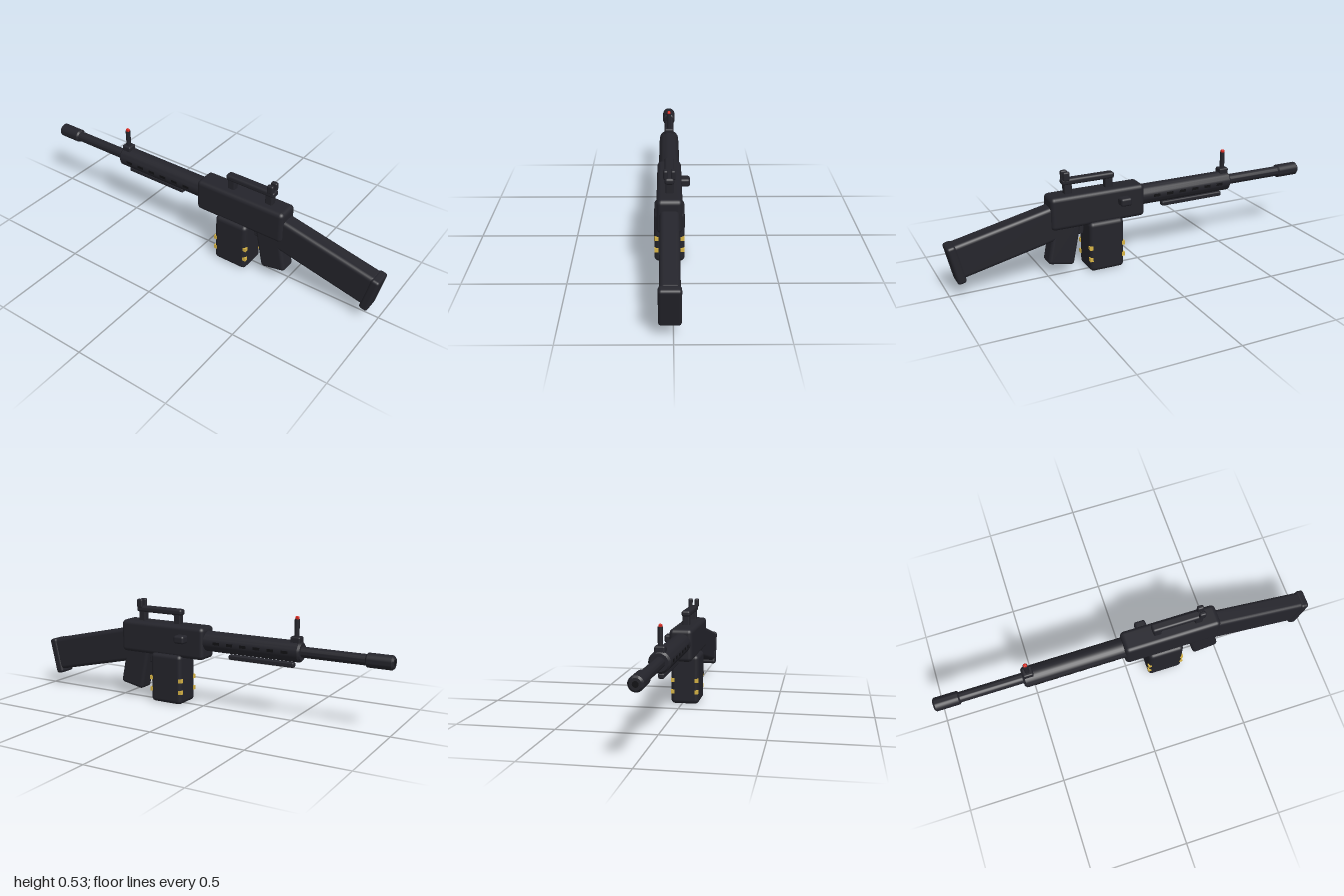
import * as THREE from 'three';
import { RoundedBoxGeometry } from 'three/addons/geometries/RoundedBoxGeometry.js';
import { toCreasedNormals } from 'three/addons/utils/BufferGeometryUtils.js';

const CX = -0.015;      // centre plane of the body
const BORE_Y = 0.348;   // height of the barrel axis

export function createModel() {
  const model = new THREE.Group();
  const mat = (color) => new THREE.MeshStandardMaterial({ color });
  const dark = mat(0x24242b), black = mat(0x111114), brass = mat(0xd9b545), red = mat(0xd8281f);

  const add = (name, geometry, material, x, y, z, tilt = 0) => {
    const mesh = new THREE.Mesh(geometry, material);
    mesh.name = name;
    mesh.position.set(x, y, z);
    mesh.rotation.x = tilt;
    model.add(mesh);
    return mesh;
  };
  // Rounded block; x is measured from the centre plane
  const block = (name, [w, h, d], r, [x, y, z], tilt = 0, material = dark) =>
    add(name, new RoundedBoxGeometry(w, h, d, 3, r), material, CX + x, y, z, tilt);
  // Bevelled round bar along z, from z0 (rear) to z1 (front of the barrel)
  const bar = (name, r, z0, z1, bevel) => {
    const len = z0 - z1;
    const profile = [[0, 0], [r - bevel, 0], [r, bevel], [r, len - bevel], [r - bevel, len], [0, len]]
      .map(([a, b]) => new THREE.Vector2(a, b));
    const geometry = toCreasedNormals(new THREE.LatheGeometry(profile, 32), 0.6);
    return add(name, geometry, dark, CX, BORE_Y, z0, -Math.PI / 2);
  };

  // Receiver and side knob
  block('receiver', [0.12, 0.17, 0.505], 0.022, [0, 0.336, 0.232]);
  block('chargingKnob', [0.06, 0.042, 0.06], 0.012, [0.073, 0.356, 0.1]);

  // Stock slopes down towards the butt
  block('stock', [0.09, 0.178, 0.54], 0.02, [0, 0.232, 0.694], 0.22);
  block('buttPlate', [0.1, 0.2, 0.045], 0.014, [0, 0.163, 0.958], 0.22);

  // Grip and trigger
  block('grip', [0.09, 0.24, 0.14], 0.018, [0, 0.177, 0.413], -0.2);
  block('trigger', [0.03, 0.075, 0.035], 0.008, [0, 0.232, 0.317], -0.1);

  // Magazine with brass studs at its corners
  block('magazine', [0.15, 0.265, 0.186], 0.022, [0, 0.133, 0.197]);
  for (const x of [-0.064, 0.064])
    for (const y of [0.068, 0.13])
      for (const z of [0.11, 0.284])
        add('magazineStud', new THREE.BoxGeometry(0.019, 0.021, 0.019), brass, CX + x, y, z);

  // Barrel assembly
  bar('handguard', 0.0525, 0, -0.545, 0.01);
  bar('barrel', 0.027, -0.5, -0.9, 0.002);
  bar('muzzle', 0.035, -0.865, -1, 0.009);
  const bore = add('bore', new THREE.CircleGeometry(0.014, 20), black, CX, BORE_Y, -1.0005);
  bore.rotation.y = Math.PI;

  // Vent slots along both sides of the handguard
  for (const side of [-1, 1])
    for (let i = 0; i < 6; i++)
      add('ventSlot', new THREE.BoxGeometry(0.006, 0.014, 0.036), black,
        CX + side * 0.0505, BORE_Y, -0.095 - i * 0.075);

  // Rail under the handguard
  block('lowerRail', [0.03, 0.026, 0.36], 0.008, [0, 0.278, -0.325]);

  // Front sight
  block('frontSightBase', [0.05, 0.035, 0.052], 0.008, [0, 0.405, -0.513]);
  add('frontSightPost', new THREE.CylinderGeometry(0.0125, 0.0125, 0.1, 16), dark, CX, 0.457, -0.513);
  block('frontSightTip', [0.015, 0.02, 0.018], 0.004, [0, 0.51, -0.513], 0, red);

  // Carry handle with rear sight ears
  block('carryHandle', [0.046, 0.032, 0.28], 0.012, [0, 0.482, 0.27]);
  for (const z of [0.16, 0.378])
    block('handlePost', [0.036, 0.08, 0.04], 0.006, [0, 0.445, z]);
  for (const x of [-0.0175, 0.0175])
    block('rearSightEar', [0.022, 0.046, 0.034], 0.008, [x, 0.512, 0.388]);

  return model;
}
